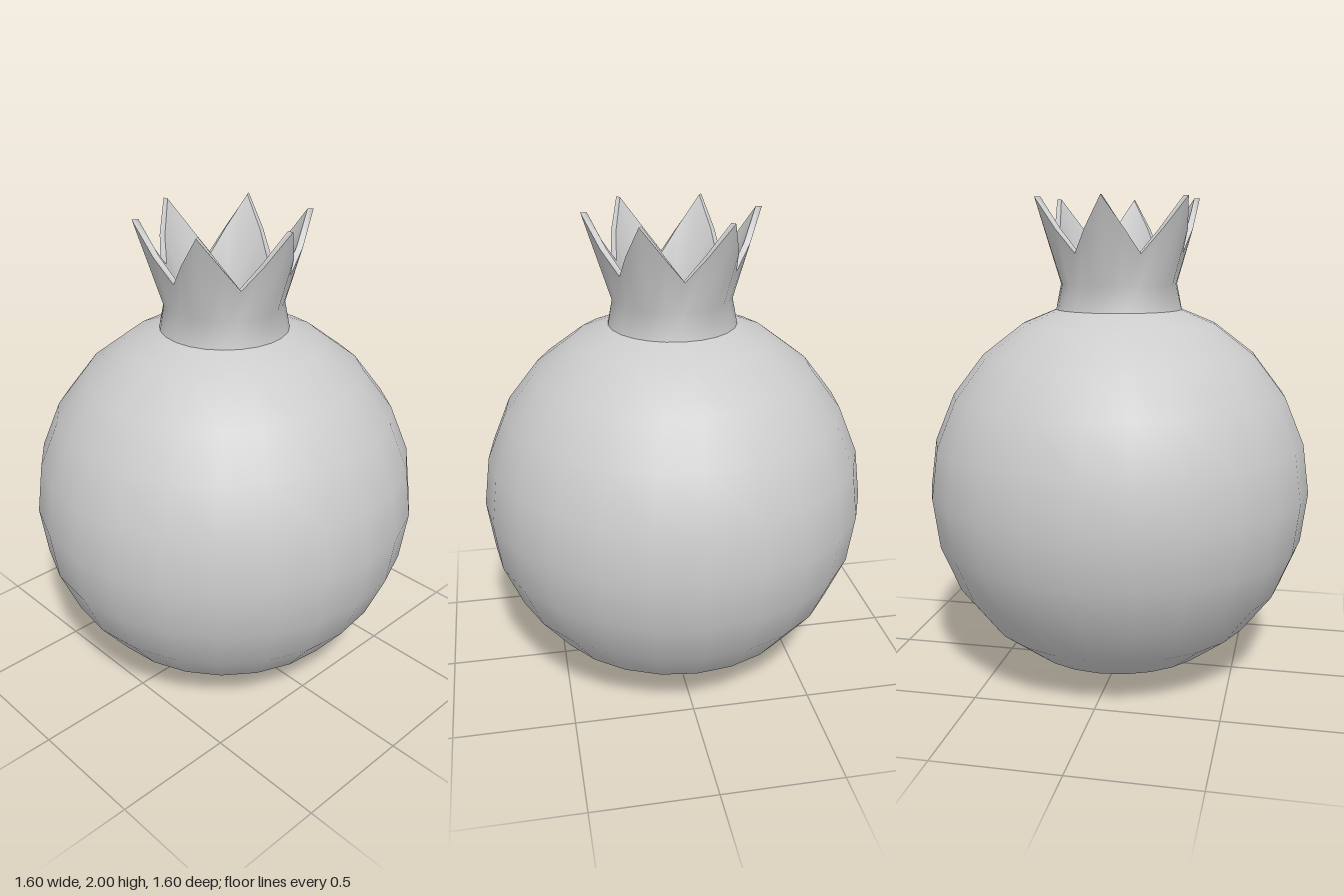
import * as THREE from 'three';

const COLUMNS = 24;
const PETALS = 6;

// Smooth closed band: each row is a function from petal height t (0 notch, 1 tip) to [radius, y]
function band(rows, material, name) {
  const positions = [];
  const index = [];
  for (const row of rows) {
    for (let c = 0; c < COLUMNS; c++) {
      const a = (c / COLUMNS) * Math.PI * 2;
      const step = (c * PETALS / COLUMNS) % 1;
      const [r, y] = row(Math.abs(1 - 2 * step));
      positions.push(r * Math.cos(a), y, -r * Math.sin(a));
    }
  }
  for (let i = 0; i < rows.length - 1; i++) {
    for (let c = 0; c < COLUMNS; c++) {
      const n = (c + 1) % COLUMNS;
      const a = i * COLUMNS + c, b = i * COLUMNS + n;
      index.push(a, b, b + COLUMNS, a, b + COLUMNS, a + COLUMNS);
    }
  }
  const geometry = new THREE.BufferGeometry();
  geometry.setAttribute('position', new THREE.Float32BufferAttribute(positions, 3));
  geometry.setIndex(index);
  geometry.computeVertexNormals();
  const mesh = new THREE.Mesh(geometry, material);
  mesh.name = name;
  return mesh;
}

export function createModel() {
  const model = new THREE.Group();
  model.name = 'pomegranate';
  const material = new THREE.MeshStandardMaterial({ color: 0xcccccc });

  // Round fruit
  const fruit = new THREE.Mesh(new THREE.SphereGeometry(0.8, 24, 12), material);
  fruit.name = 'fruit';
  fruit.position.y = 0.8;
  model.add(fruit);

  // Flared crown with six pointed petals
  const rimY = t => 1.78 + 0.22 * Math.pow(t, 1.2);
  const rimR = t => 0.263 + 0.092 * Math.pow(t, 1.2);
  const outerBase = () => [0.262, 1.545];
  const outerNeck = t => [0.236 + 0.008 * t, 1.655];
  const outerRim = t => [rimR(t), rimY(t)];
  const innerRim = t => [rimR(t) - 0.025, rimY(t)];
  const innerNeck = () => [0.196, 1.65];
  const innerBase = () => [0.21, 1.55];

  const crown = new THREE.Group();
  crown.name = 'crown';
  crown.add(
    band([outerBase, outerNeck, outerRim], material, 'crownOuterWall'),
    band([outerRim, innerRim], material, 'crownRim'),
    band([innerRim, innerNeck, innerBase], material, 'crownInnerWall')
  );
  model.add(crown);

  return model;
}
